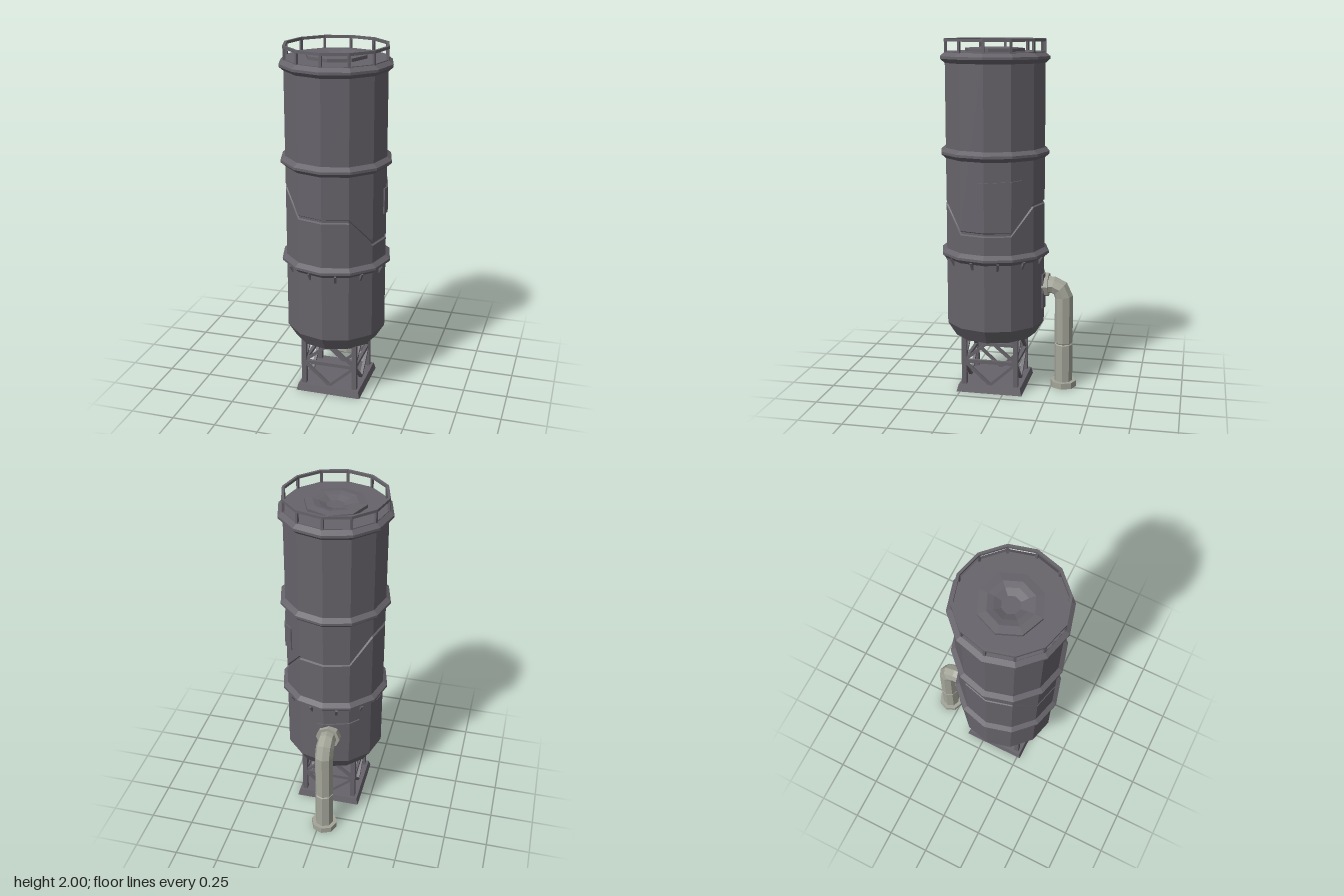
import * as THREE from 'three';

const SIDES = 12, CZ = 0.08, R = 0.285;
const V = (x, y, z) => new THREE.Vector3(x, y, z);

function faceted(geo) {
  const g = geo.index ? geo.toNonIndexed() : geo;
  g.computeVertexNormals();
  return g;
}

// Skin through equal-sized rings of points, with optional end caps
function loft(rings, capStart = true, capEnd = true) {
  const pos = [], n = rings[0].length;
  const tri = (...pts) => pts.forEach((p) => pos.push(p.x, p.y, p.z));
  for (let k = 0; k + 1 < rings.length; k++) {
    for (let i = 0; i < n; i++) {
      const j = (i + 1) % n, a = rings[k], b = rings[k + 1];
      tri(a[i], a[j], b[j]);
      tri(a[i], b[j], b[i]);
    }
  }
  const cap = (ring, flip) => {
    for (let i = 1; i + 1 < n; i++) {
      if (flip) tri(ring[0], ring[i + 1], ring[i]);
      else tri(ring[0], ring[i], ring[i + 1]);
    }
  };
  if (capStart) cap(rings[0], true);
  if (capEnd) cap(rings[rings.length - 1], false);
  const g = new THREE.BufferGeometry();
  g.setAttribute('position', new THREE.Float32BufferAttribute(pos, 3));
  return faceted(g);
}

// Horizontal ring; y may be a number or a function of the corner index
function ring(r, y, n = SIDES) {
  return Array.from({ length: n }, (_, i) => {
    const a = (i / n) * Math.PI * 2;
    return V(r * Math.sin(a), typeof y === 'function' ? y(i) : y, r * Math.cos(a));
  });
}

// Point on the twelve-sided wall at an angle in degrees from the front
function wallPoint(deg, y, offset) {
  const apothem = R * Math.cos(Math.PI / SIDES) + offset;
  const local = (((deg % 30) + 30) % 30) - 15;
  const r = apothem / Math.cos(THREE.MathUtils.degToRad(local));
  const a = THREE.MathUtils.degToRad(deg);
  return V(r * Math.sin(a), y, r * Math.cos(a));
}

export function createModel() {
  const model = new THREE.Group();
  model.name = 'storageSilo';
  const steel = new THREE.MeshStandardMaterial({ color: 0x66636a });
  steel.name = 'dark steel';
  const pipeGrey = new THREE.MeshStandardMaterial({ color: 0xa3a498 });
  pipeGrey.name = 'pale pipe grey';

  const tower = new THREE.Group();
  tower.name = 'tower';
  tower.position.z = CZ;
  model.add(tower);

  function add(parent, name, geo, mat, x = 0, y = 0, z = 0) {
    const m = new THREE.Mesh(geo, mat);
    m.name = name;
    m.position.set(x, y, z);
    parent.add(m);
    return m;
  }
  function beam(parent, name, a, b, w, d = w) {
    const m = add(parent, name, new THREE.BoxGeometry(w, a.distanceTo(b), d), steel);
    m.position.copy(a).add(b).multiplyScalar(0.5);
    m.quaternion.setFromUnitVectors(V(0, 1, 0), b.clone().sub(a).normalize());
    return m;
  }

  // Tank wall with a zigzag groove, left open under the hatch
  const level = [1.1, 1.1, 0.95, 0.95, 0.95, 1.1, 1.1, 1.1, 1.24, 1.24, 1.24, 1.1];
  const seam = (dy) => (i) => level[i] + dy;
  add(tower, 'tankBody', loft([
    ring(0.235, 0.32), ring(R, 0.4),
    ring(R, seam(-0.012)), ring(R - 0.01, seam(-0.006)),
    ring(R - 0.01, seam(0.006)), ring(R, seam(0.012)),
    ring(R, 1.93), ring(0.155, 1.93),
  ], true, false), steel);

  // Bands around the tank
  for (const y of [0.81, 1.38, 1.9]) {
    add(tower, 'band', loft([
      ring(R - 0.005, y - 0.035), ring(0.311, y - 0.008), ring(0.311, y + 0.006), ring(R - 0.005, y + 0.03),
    ]  , false, false), steel);
  }

  // Roof hatch with a shallow dish
  add(tower, 'hatch', loft([
    ring(0.17, 1.925, 8), ring(0.17, 1.948, 8), ring(0.125, 1.952, 8),
    ring(0.09, 1.945, 8), ring(0.05, 1.93, 8),
  ], false, true), steel);

  // Railing
  add(tower, 'railTop', loft([
    ring(0.274, 1.985), ring(0.289, 1.985), ring(0.289, 2), ring(0.274, 2), ring(0.274, 1.985),
  ], false, false), steel);
  for (const p of ring(0.28, 1.955)) {
    const post = add(tower, 'railPost', new THREE.BoxGeometry(0.013, 0.07, 0.013), steel, p.x, p.y, p.z);
    post.rotation.y = Math.atan2(p.x, p.z);
  }

  // Triangular brackets below the lowest band, one per wall face
  const tri = new THREE.Shape([
    new THREE.Vector2(0, 0.74), new THREE.Vector2(0.027, 0.79), new THREE.Vector2(0, 0.8),
  ]);
  const bracketGeo = new THREE.ExtrudeGeometry(tri, { depth: 0.012, bevelEnabled: false });
  bracketGeo.translate(R * Math.cos(Math.PI / SIDES) - 0.004, 0, -0.006);
  for (let i = 0; i < SIDES; i++) {
    add(tower, 'bracket', bracketGeo, steel).rotation.y = ((i + 0.5) / SIDES) * Math.PI * 2;
  }

  // Thin wall plates bent over the tank corners
  function wallPlate(name, from, to, y0, y1) {
    const stops = [from];
    for (let d = Math.ceil(from / 30) * 30; d < to; d += 30) stops.push(d);
    stops.push(to);
    const rings = stops.map((d) => {
      const lift = 0.012 * (d - from) / (to - from);
      return [
        wallPoint(d, y0 + lift, -0.002), wallPoint(d, y1 + lift, -0.002),
        wallPoint(d, y1 + lift, 0.008), wallPoint(d, y0 + lift, 0.008),
      ];
    });
    add(tower, name, loft(rings), steel);
  }
  wallPlate('sidePlate', 83, 133, 1.09, 1.235);
  wallPlate('pipePlate', 173, 223, 0.48, 0.68);

  // Base slab and braced support frame
  const slab = new THREE.CylinderGeometry(0.18 * Math.SQRT2, 0.19 * Math.SQRT2, 0.04, 4, 1);
  slab.rotateY(Math.PI / 4);
  add(tower, 'baseSlab', faceted(slab), steel, 0, 0.02, 0);
  const L = 0.15;
  for (let i = 0; i < 4; i++) {
    const side = new THREE.Group();
    side.name = 'supportSide';
    side.rotation.y = (i * Math.PI) / 2;
    tower.add(side);
    beam(side, 'leg', V(L, 0.035, L), V(L, 0.325, L), 0.028);
    beam(side, 'crossBar', V(-L, 0.177, L), V(L, 0.177, L), 0.02, 0.018);
    beam(side, 'topBar', V(-L, 0.309, L), V(L, 0.309, L), 0.018);
    for (const s of [-1, 1]) {
      beam(side, 'upperBrace', V(s * L, 0.18, L), V(0, 0.305, L), 0.016);
      beam(side, 'lowerBrace', V(s * L, 0.175, L), V(0, 0.04, L), 0.016);
    }
  }

  // Outlet pipe: each station is y, z, radius, bend in degrees toward the tank
  const stations = [
    [0.03, -0.318, 0.053, 0], [0.255, -0.318, 0.053, 0], [0.26, -0.318, 0.047, 0],
    [0.266, -0.318, 0.053, 0], [0.54, -0.316, 0.053, 8], [0.587, -0.295, 0.053, 45],
    [0.606, -0.255, 0.051, 78], [0.606, -0.19, 0.051, 90],
  ];
  const pipe = new THREE.Group();
  pipe.name = 'outletPipe';
  pipe.position.x = -0.032;
  model.add(pipe);
  add(pipe, 'pipe', loft(stations.map(([y, z, r, bend]) => {
    const b = THREE.MathUtils.degToRad(bend);
    return ring(r, 0, 8).map((p) => V(p.x, y - p.z * Math.sin(b), z + p.z * Math.cos(b)));
  })), pipeGrey);
  add(pipe, 'pipeFoot', faceted(new THREE.CylinderGeometry(0.076, 0.076, 0.035, 8)), pipeGrey, 0, 0.0175, -0.318);
  const flange = new THREE.CylinderGeometry(0.07, 0.07, 0.035, 8);
  flange.rotateX(Math.PI / 2);
  add(pipe, 'wallFlange', faceted(flange), pipeGrey, 0, 0.606, -0.212);

  return model;
}
